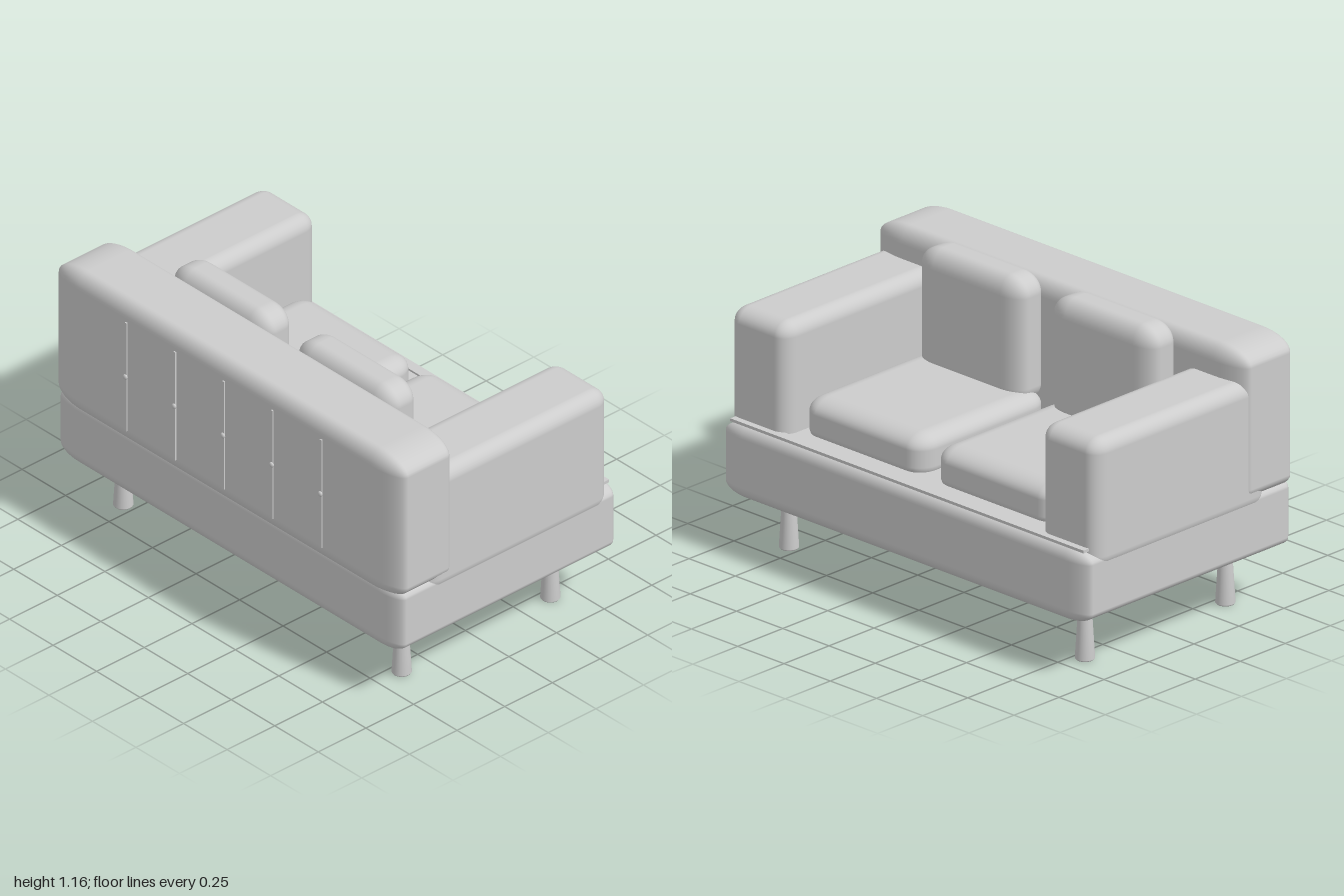
import * as THREE from 'three';
import { RoundedBoxGeometry } from 'three/addons/geometries/RoundedBoxGeometry.js';

export function createModel() {
  const sofa = new THREE.Group();
  sofa.name = 'sofa';
  const grey = new THREE.MeshStandardMaterial({ color: 0xcccccc });
  grey.name = 'light grey';

  function add(name, geometry, x = 0, y = 0, z = 0) {
    const mesh = new THREE.Mesh(geometry, grey);
    mesh.name = name;
    mesh.position.set(x, y, z);
    sofa.add(mesh);
    return mesh;
  }

  // Padded block between two corners, with its own edge radius on each axis
  function pad(name, [x0, x1], [y0, y1], [z0, z1], [rx, ry, rz]) {
    const g = new RoundedBoxGeometry((x1 - x0) / rx, (y1 - y0) / ry, (z1 - z0) / rz, 5, 1);
    g.scale(rx, ry, rz);
    return add(name, g, (x0 + x1) / 2, (y0 + y1) / 2, (z0 + z1) / 2);
  }

  // Body: the seat opens towards -z
  pad('base', [-0.99, 0.99], [0.235, 0.54], [-0.59, 0.568], [0.12, 0.05, 0.04]);
  pad('backrest', [-1, 1], [0.48, 1.13], [0.27, 0.578], [0.16, 0.07, 0.05]);
  pad('seatDeck', [-0.72, 0.72], [0.45, 0.575], [-0.33, 0.32], [0.03, 0.02, 0.02]);
  add('frontPiping', new THREE.BoxGeometry(1.91, 0.012, 0.045), 0, 0.542, -0.545);

  for (const side of [-1, 1]) {
    const span = (a, b) => side > 0 ? [a, b] : [-b, -a];
    const label = side > 0 ? 'left' : 'right';
    pad(label + 'Arm', span(0.685, 0.995), [0.45, 1.0], [-0.54, 0.42], [0.06, 0.06, 0.07]);
    pad(label + 'SeatCushion', span(0.03, 0.68), [0.5, 0.69], [-0.46, 0.26], [0.08, 0.06, 0.09]);
    pad(label + 'BackCushion', span(0.075, 0.64), [0.62, 1.16], [0.13, 0.3], [0.1, 0.08, 0.06]);

    // Legs flare towards the floor
    for (const z of [-0.4, 0.38]) {
      const profile = [[0, 0], [0.036, 0], [0.04, 0.006], [0.028, 0.2], [0.025, 0.21], [0, 0.21]];
      const leg = new THREE.LatheGeometry(profile.map(p => new THREE.Vector2(...p)), 20);
      add(label + (z < 0 ? 'FrontLeg' : 'BackLeg'), leg, side * 0.8, 0, z);
    }
  }

  // Stitched seams and buttons on the rear of the backrest
  for (let i = -2; i <= 2; i++) {
    add('seam', new THREE.BoxGeometry(0.01, 0.5, 0.006), i * 0.28, 0.8, 0.584);
    add('button', new THREE.SphereGeometry(0.012, 12, 8).scale(1, 1, 0.6), i * 0.28, 0.8, 0.588);
  }
  return sofa;
}
